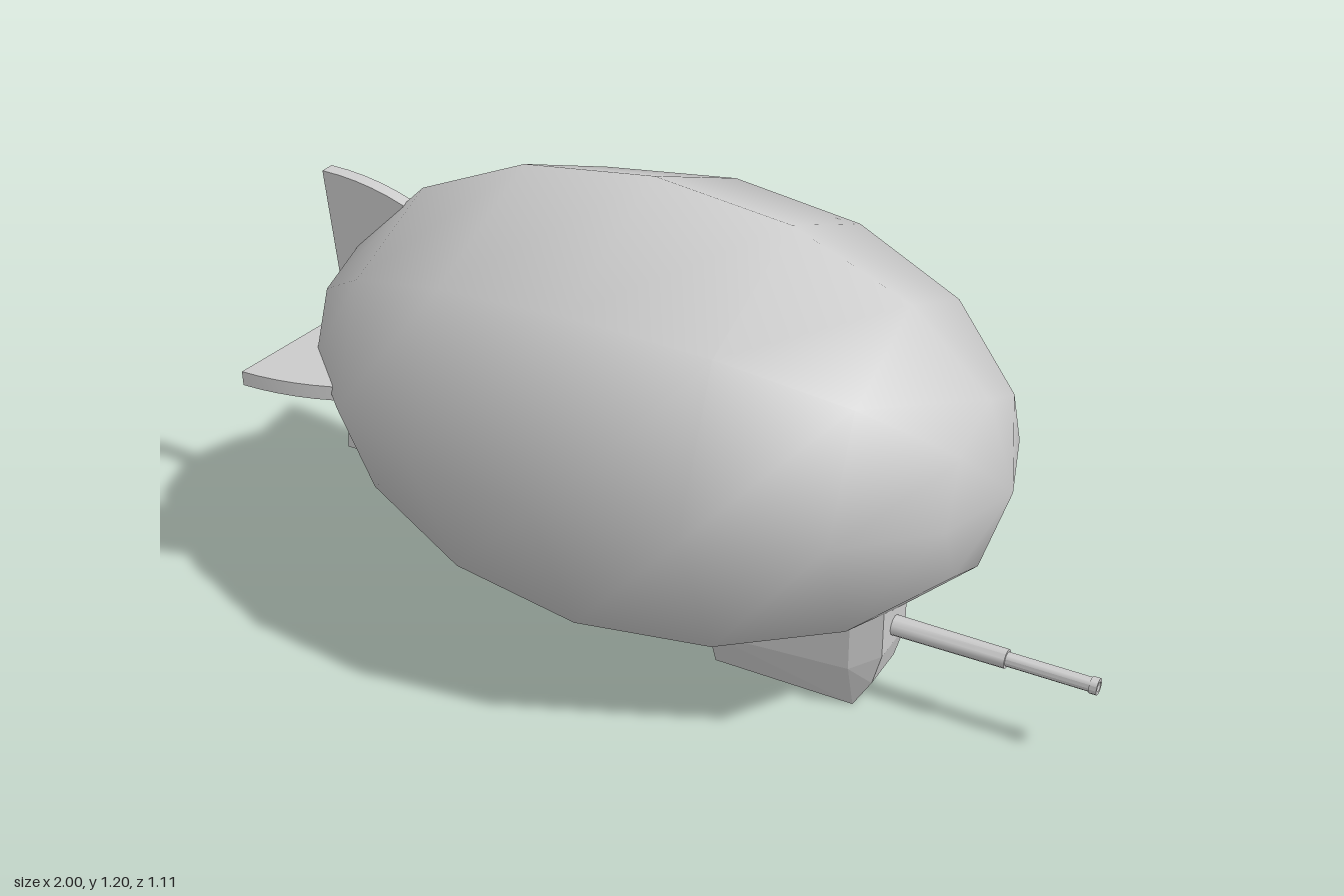
import * as THREE from 'three';
import { toCreasedNormals } from 'three/addons/utils/BufferGeometryUtils.js';
import { ConvexGeometry } from 'three/addons/geometries/ConvexGeometry.js';

const AXIS_Y = 0.648;

export function createModel() {
  const model = new THREE.Group();
  model.name = 'airship';
  const grey = new THREE.MeshStandardMaterial({ color: 0xcccccc });
  const add = (name, geometry, parent = model) => {
    const mesh = new THREE.Mesh(geometry, grey);
    mesh.name = name;
    parent.add(mesh);
    return mesh;
  };

  // Envelope: eight-sided smooth ellipsoid lying along x
  const hull = new THREE.SphereGeometry(1, 8, 8);
  hull.rotateZ(-Math.PI / 2);
  hull.scale(0.873, 0.553, 0.553);
  add('envelope', hull).position.set(-0.108, AXIS_Y, 0);

  // Four tail fins, wide at the tip and meeting at the tail
  const outline = new THREE.Shape();
  outline.moveTo(-0.966, 0);
  outline.lineTo(-0.88, 0);
  outline.lineTo(-0.772, 0.342);
  outline.quadraticCurveTo(-0.88, 0.383, -1, 0.383);
  outline.closePath();
  const thickness = 0.036;
  const finGeometry = toCreasedNormals(new THREE.ExtrudeGeometry(outline, {
    depth: thickness, bevelEnabled: false, curveSegments: 5,
  }).translate(0, 0, -thickness / 2), 0.5);
  const fins = new THREE.Group();
  fins.name = 'tailFins';
  fins.position.y = AXIS_Y;
  model.add(fins);
  ['topFin', 'leftFin', 'bottomFin', 'rightFin'].forEach((name, i) => {
    add(name, finGeometry, fins).rotation.x = i * Math.PI / 2;
  });

  // Gondola: faceted cabin with a chamfered nose, its roof sunk into the envelope
  const corners = [
    [0.08, 0, 0.06], [0.08, 0.1, 0.095], [0.08, 0.34, 0.095],
    [0.44, 0, 0.06], [0.44, 0.125, 0.095], [0.44, 0.34, 0.095],
    [0.487, 0.08, 0.063], [0.51, 0.165, 0.066], [0.51, 0.34, 0.066],
  ];
  const points = corners.flatMap(([x, y, z]) => [
    new THREE.Vector3(x, y, z), new THREE.Vector3(x, y, -z),
  ]);
  add('gondola', new ConvexGeometry(points));

  // Gun barrel: stepped tube with a muzzle ring and a bore
  const profile = [
    [0, 0.48], [0.025, 0.48], [0.023, 0.785], [0.017, 0.785], [0.017, 0.982],
    [0.02, 0.982], [0.02, 1], [0.012, 1], [0.012, 0.95], [0, 0.95],
  ].map(([r, x]) => new THREE.Vector2(r, x));
  const barrel = toCreasedNormals(new THREE.LatheGeometry(profile, 12), 0.7);
  barrel.rotateZ(-Math.PI / 2);
  add('gunBarrel', barrel).position.y = 0.213;

  return model;
}
